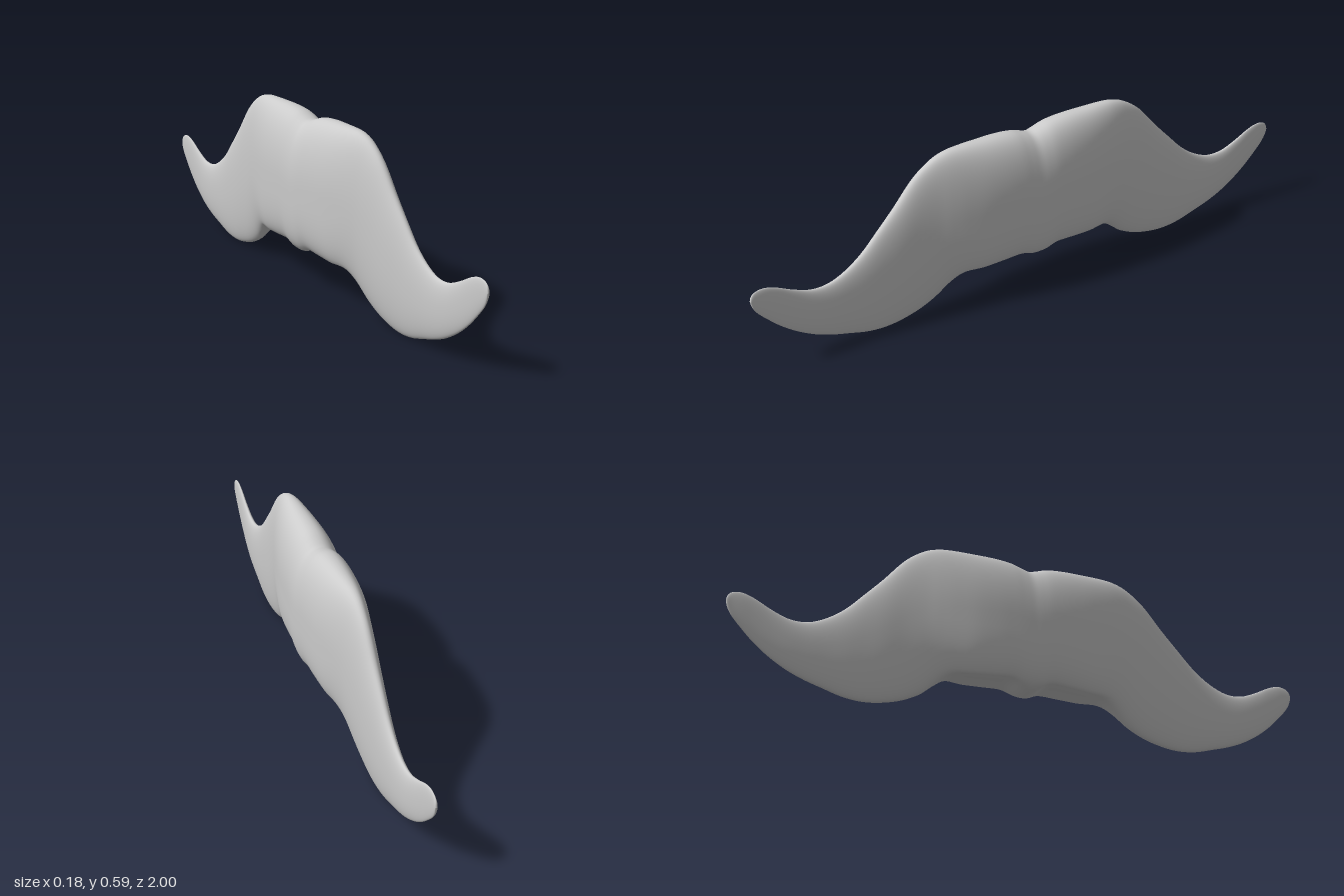
import * as THREE from 'three';

// Half profile from the middle to the tip: z, top, bottom, half width
const HALF = [
  [0, 0.562, 0.118, 0.092], [0.03, 0.57, 0.12, 0.092], [0.07, 0.582, 0.131, 0.091],
  [0.13, 0.588, 0.128, 0.088], [0.2, 0.589, 0.123, 0.081], [0.27, 0.589, 0.117, 0.069],
  [0.32, 0.584, 0.092, 0.059], [0.37, 0.565, 0.055, 0.049], [0.43, 0.52, 0.026, 0.041],
  [0.5, 0.438, 0.008, 0.036], [0.56, 0.373, 0.003, 0.031], [0.62, 0.31, 0.01, 0.027],
  [0.68, 0.266, 0.027, 0.023], [0.74, 0.241, 0.045, 0.02], [0.8, 0.241, 0.07, 0.017],
  [0.86, 0.264, 0.106, 0.013], [0.91, 0.29, 0.146, 0.01], [0.95, 0.303, 0.186, 0.008],
  [0.98, 0.3, 0.22, 0.006], [0.995, 0.288, 0.247, 0.005], [1, 0.27, 0.27, 0.003],
];

// Superellipse section: soft oval above, fuller and hollowed below near the middle
function sectionPoint(angle, z, top, bottom, width) {
  const c = Math.cos(angle), s = Math.sin(angle);
  const middle = 1 - THREE.MathUtils.smoothstep(Math.abs(z), 0.2, 0.36);
  const n = s > 0 ? 2.2 : 2.1 + 1.3 * middle;
  const x = width * Math.sign(c) * Math.abs(c) ** (2 / n);
  let y = (top + bottom) / 2 + ((top - bottom) / 2) * Math.sign(s) * Math.abs(s) ** (2 / n);
  if (s < 0) {
    // Shallow recess under the middle, with a small bump at its centre
    const across = Math.max(0, 1 - (x / (0.65 * width)) ** 2);
    y += 0.025 * middle * across * (1 - Math.exp(-((z / 0.05) ** 2)));
  }
  return [x - 0.003 * Math.abs(z), y, z];
}

function moustacheGeometry() {
  const rows = [...HALF.slice(1).reverse().map(([z, ...r]) => [-z, ...r]), ...HALF];
  const curve = (k) => new THREE.SplineCurve(rows.map((r) => new THREE.Vector2(r[0], r[k])));
  const curves = [1, 2, 3].map(curve);
  const rings = (rows.length - 1) * 4, sides = 64;
  const positions = [], index = [];

  for (let i = 0; i <= rings; i++) {
    const [top, bottom, width] = curves.map((c) => c.getPoint(i / rings));
    for (let j = 0; j < sides; j++) {
      const angle = (j / sides) * Math.PI * 2;
      positions.push(...sectionPoint(angle, top.x, top.y, bottom.y, width.y));
      if (i === rings) continue;
      const a = i * sides + j, b = i * sides + ((j + 1) % sides);
      index.push(a, b, a + sides, b, b + sides, a + sides);
    }
  }
  const geometry = new THREE.BufferGeometry();
  geometry.setAttribute('position', new THREE.Float32BufferAttribute(positions, 3));
  geometry.setIndex(index);
  geometry.computeVertexNormals();
  return geometry;
}

export function createModel() {
  const group = new THREE.Group();
  group.name = 'moustache';
  const material = new THREE.MeshStandardMaterial({ color: 0xcccccc });
  const body = new THREE.Mesh(moustacheGeometry(), material);
  body.name = 'moustacheBody';
  group.add(body);
  return group;
}
